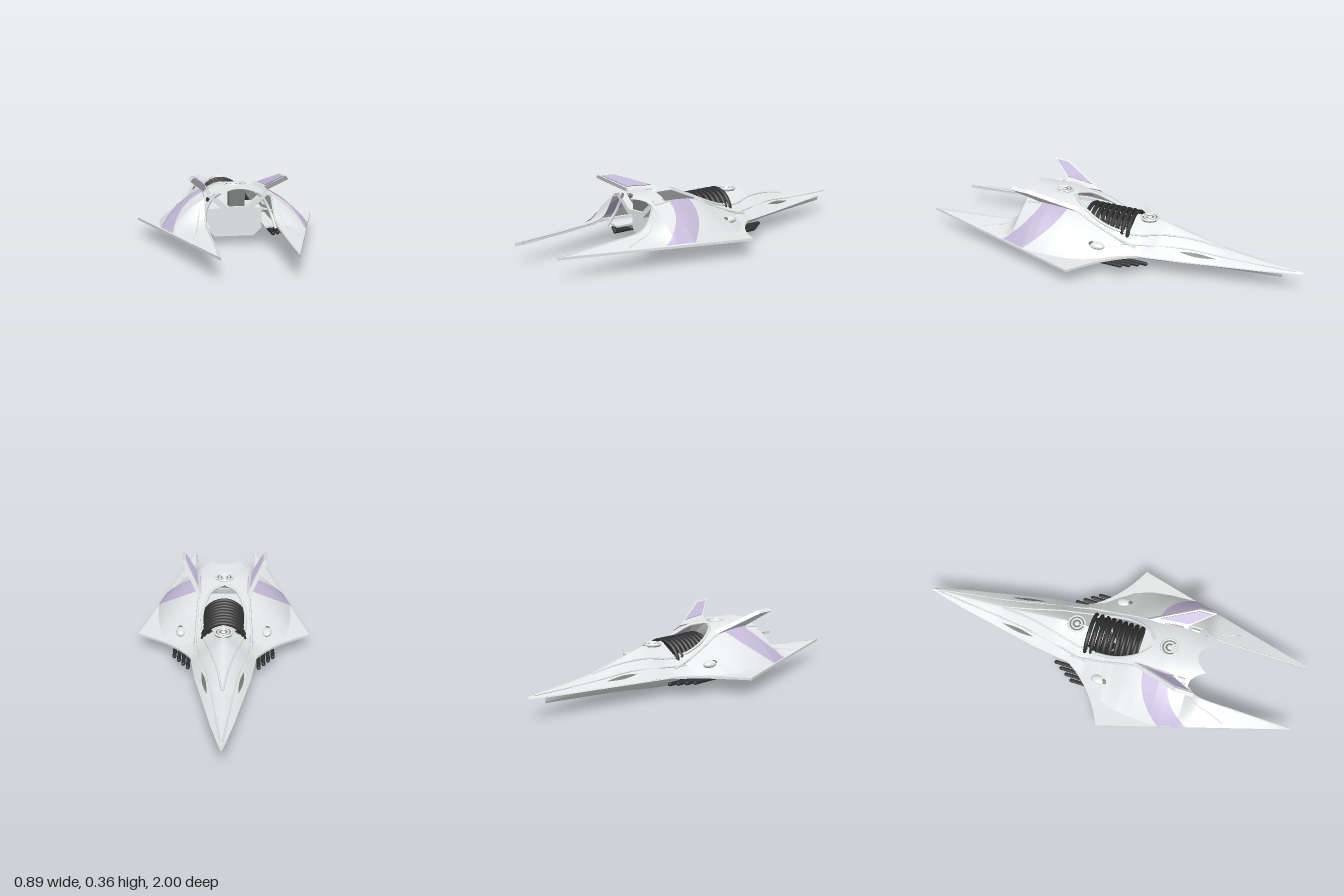
import * as THREE from 'three';

const mat = (name, color) => {
  const m = new THREE.MeshStandardMaterial({ color, side: THREE.DoubleSide });
  m.name = name;
  return m;
};

// Piecewise interpolation through [z, value] keys
const keyed = (keys) => (z) => {
  let i = 0;
  while (i < keys.length - 2 && z > keys[i + 1][0]) i++;
  const [a, va] = keys[i], [b, vb] = keys[i + 1];
  return va + (vb - va) * THREE.MathUtils.clamp((z - a) / (b - a), 0, 1);
};

// Hull rules along z: half width, rise above the edge, profile power, edge height
const width = keyed([[-1, 0.004], [-0.94, 0.02], [-0.8, 0.054], [-0.6, 0.095], [-0.4, 0.137], [-0.28, 0.154], [-0.2, 0.165],
  [-0.1, 0.21], [-0.04, 0.26], [0.03, 0.31], [0.12, 0.34], [0.22, 0.352], [0.35, 0.357], [0.5, 0.315], [1, 0.171]]);
const rise = keyed([[-1, 0.006], [-0.8, 0.024], [-0.6, 0.05], [-0.4, 0.1], [-0.28, 0.133], [-0.15, 0.148], [0, 0.16],
  [0.15, 0.186], [0.3, 0.199], [0.44, 0.199], [0.46, 0.155], [0.48, 0.117], [0.5, 0.093], [0.55, 0.072], [0.7, 0.055], [0.85, 0.04], [1, 0.006]]);
const power = keyed([[-1, 1.3], [-0.3, 1.3], [-0.1, 0.95], [0.05, 1.3], [0.2, 2.1], [0.3, 2.3], [0.44, 2.1], [0.52, 1.4], [1, 1.2]]);
const edgeY = keyed([[-1, 0.108], [-0.4, 0.1], [0, 0.088], [1, 0.111]]);
const top = (x, z) => edgeY(z) + rise(z) * (1 - Math.min(1, Math.abs(x) / width(z)) ** power(z));
const keelWidth = keyed([[-0.9, 0.012], [-0.6, 0.07], [-0.3, 0.14], [-0.12, 0.145], [-0.04, 0.1], [0.02, 0.015]]);
const keelDepth = keyed([[-0.9, 0.04], [-0.4, 0.065], [-0.2, 0.082], [0, 0.088]]);
const mix = THREE.MathUtils.lerp;

// Smooth grid from a rule f(u, v) -> [x, y, z]
function patch(f, nu, nv) {
  const pos = [], idx = [];
  for (let j = 0; j <= nv; j++) for (let i = 0; i <= nu; i++) pos.push(...f(i / nu, j / nv));
  for (let j = 0; j < nv; j++) for (let i = 0; i < nu; i++) {
    const a = j * (nu + 1) + i, b = a + nu + 1;
    idx.push(a, b, a + 1, b, b + 1, a + 1);
  }
  const g = new THREE.BufferGeometry();
  g.setAttribute('position', new THREE.Float32BufferAttribute(pos, 3));
  g.setIndex(idx);
  g.computeVertexNormals();
  return g;
}

export function createModel() {
  const silver = mat('silver hull', 0xe6e8e9), violet = mat('violet paint', 0xc3b9d8);
  const grey = mat('grey recess', 0x7a7c7c), black = mat('black pipes', 0x2f3031);
  const model = new THREE.Group();
  const add = (parent, name, geo, m, x = 0, y = 0, z = 0) => {
    const mesh = new THREE.Mesh(geo, m);
    mesh.name = name;
    mesh.position.set(x, y, z);
    parent.add(mesh);
    return mesh;
  };
  const tube = (pts, r) =>
    new THREE.TubeGeometry(new THREE.CatmullRomCurve3(pts.map((p) => new THREE.Vector3(...p))), 40, r, 6);

  // Everything in a half is built on the left and mirrored
  function half(name) {
    const g = new THREE.Group();
    g.name = name;
    const shell = (n, z0, z1, inner, nv) => add(g, n, patch((u, v) => {
      const z = mix(z0, z1, v), x = mix(inner(z), Math.max(width(z), inner(z)), u);
      return [x, top(x, z), z];
    }, 20, nv), silver);
    shell('noseShell', -1, -0.12, () => 0, 44);
    shell('shoulderShell', -0.12, 0.17, keyed([[-0.12, 0.085], [-0.08, 0.105], [0.08, 0.105], [0.17, 0.07]]), 24);
    shell('domeShell', 0.17, 0.44, keyed([[0.17, 0.07], [0.22, 0], [0.44, 0]]), 28);
    const tailInner = keyed([[0.44, 0.155], [0.5, 0.165], [1, 0.17]]);
    shell('tailShell', 0.44, 1, tailInner, 56);
    // Scalloped rear lip of the crest
    const lip = keyed([[0, 0.45], [0.03, 0.458], [0.06, 0.485], [0.075, 0.512], [0.095, 0.475], [0.125, 0.447], [0.155, 0.44]]);
    add(g, 'rearLip', patch((u, v) => [0.155 * u, top(0.155 * u, 0.44), mix(0.44, lip(0.155 * u), v)], 24, 3), silver);
    // Inside lip of the tail prong
    add(g, 'prongLip', patch((u, v) => {
      const z = mix(0.5, 1, u), x = tailInner(z);
      return [x, mix(top(x, z), top(x, z) - 0.015, v), z];
    }, 30, 1), silver);
    // Flat wing flange round the dome, open underneath
    const s = new THREE.Shape();
    s.moveTo(0.16, -0.2);
    s.quadraticCurveTo(0.25, -0.04, 0.444, 0.05);
    s.lineTo(0.171, 1);
    for (let i = 0; i <= 24; i++) {
      const z = mix(0.97, -0.19, i / 24);
      s.lineTo(width(z) - 0.014, z);
    }
    const wing = new THREE.ExtrudeGeometry(s, { depth: 0.012, bevelEnabled: false, curveSegments: 14 });
    wing.rotateX(Math.PI / 2);
    const p = wing.attributes.position;
    for (let i = 0; i < p.count; i++) p.setY(i, p.getY(i) + edgeY(p.getZ(i)) - 0.001);
    wing.computeVertexNormals();
    add(g, 'wingFlange', wing, silver);
    // Nose underside and keel
    add(g, 'noseFloor', patch((u, v) => {
      const z = mix(-1, -0.12, v);
      return [u * Math.min(width(z), 0.165), edgeY(z) - 0.006, z];
    }, 1, 30), silver);
    add(g, 'keel', patch((u, v) => {
      const z = mix(-0.9, 0.02, v);
      return [u * keelWidth(z), edgeY(z) - keelDepth(z) * (1 - u ** 1.8), z];
    }, 14, 36), silver);
    // Violet band on both faces of the dome shell
    for (const side of [1, -1])
      add(g, side > 0 ? 'violetBand' : 'violetBandInside', patch((u, v) => {
        const t = mix(0.34, side > 0 ? 0.995 : 0.95, u), c = t ** 4;
        const z = mix(0.2 + 0.15 * c, 0.335 + 0.165 * c, v), x = t * width(z);
        return [x + 0.003 * side, top(x, z) + 0.004 * side, z];
      }, 28, 24), violet);
    // Narrow intake slit on the nose flank
    add(g, 'noseIntake', patch((u, v) => {
      const z = mix(-0.58, -0.4, v), t = 0.75 + 0.07 * (u - 0.5) * Math.sin(v * Math.PI) * 2, x = t * width(z);
      return [x, top(x, z) + 0.003, z];
    }, 2, 16), grey);
    // Raised ridges that follow the hull
    const ridge = (n, pts, r) => add(g, n, tube(pts.map(([x, z]) => [x, top(x, z), z]), r), silver);
    ridge('noseRidge', [[0.004, -0.96], [0.025, -0.8], [0.05, -0.6], [0.08, -0.42], [0.115, -0.25], [0.15, -0.1]], 0.004);
    ridge('spineRidge', [[0.002, -0.6], [0.025, -0.45], [0.06, -0.3], [0.09, -0.17], [0.105, -0.08]], 0.005);
    ridge('openingFrame', [[0.085, -0.12], [0.105, -0.06], [0.108, 0.06], [0.07, 0.17], [0.02, 0.22]], 0.008);
    ridge('shoulderRidge', [[0.14, -0.18], [0.14, -0.05], [0.135, 0.08], [0.13, 0.2], [0.15, 0.32], [0.155, 0.43]], 0.006);
    ridge('domeRidge', [[0.18, 0.43], [0.2, 0.5], [0.22, 0.58], [0.248, 0.66]], 0.003);
    ridge('prongRim', [[0.157, 0.44], [0.165, 0.5], [0.167, 0.7], [0.169, 0.85], [0.171, 0.98]], 0.004);
    // Scoop on the wing root with a shaded mouth
    const scoop = add(g, 'scoop', new THREE.SphereGeometry(0.026, 14, 10), silver, 0.22, top(0.22, 0), 0);
    scoop.scale.set(1, 0.7, 1.7);
    const mouth = add(g, 'scoopMouth', new THREE.SphereGeometry(0.015, 12, 8), grey, 0.222, top(0.22, 0) + 0.004, 0.024);
    mouth.scale.set(1.1, 0.9, 1.4);
    // Canted fin with a violet inner face
    const fin = new THREE.Group();
    fin.name = 'fin';
    const d = new THREE.Vector3(0.73, 0.684, 0).normalize();
    fin.rotation.setFromRotationMatrix(new THREE.Matrix4().makeBasis(d, new THREE.Vector3(0, 0, 1), new THREE.Vector3(d.y, -d.x, 0)));
    fin.position.set(0.126, 0.274, 0);
    const blade = (pts, depth) => new THREE.ExtrudeGeometry(
      new THREE.Shape(pts.map(([a, b]) => new THREE.Vector2(a, b))), { depth, bevelEnabled: false });
    add(fin, 'finBlade', blade([[-0.01, 0.15], [0.122, 0.39], [0.125, 0.48], [0.02, 0.36], [-0.01, 0.36]], 0.022), silver);
    add(fin, 'finPaint', blade([[0.015, 0.21], [0.112, 0.39], [0.115, 0.46], [0.03, 0.36]], 0.004), violet, 0, 0, -0.004);
    g.add(fin);
    // Arch strut and inner ledge behind the dome
    add(g, 'archStrut', tube([[0.085, 0.277, 0.43], [0.125, 0.24, 0.41], [0.16, 0.17, 0.42], [0.178, 0.105, 0.46]], 0.008), silver);
    const ledge = add(g, 'innerLedge', new THREE.BoxGeometry(0.055, 0.01, 0.3), silver, 0.158, 0.106, 0.28);
    ledge.rotation.z = 0.12;
    // Lengthwise pipes under the wing, hung from a mount
    for (let i = 0; i < 4; i++) {
      const z0 = -0.25 + i * 0.035, len = 0.66 - i * 0.05;
      const pipe = new THREE.CapsuleGeometry(0.01, len, 4, 8).rotateX(Math.PI / 2);
      add(g, 'wingPipe', pipe, black, 0.176 + i * 0.024, 0.067, z0 + len / 2);
    }
    add(g, 'pipeMount', new THREE.BoxGeometry(0.1, 0.016, 0.36), grey, 0.212, 0.078, 0.14);
    // Arm of the rear yoke
    const arm = add(g, 'yokeArm', new THREE.BoxGeometry(0.125, 0.024, 0.04), silver, 0.094, 0.229, 0.4);
    arm.rotation.z = 0.72;
    return g;
  }
  const right = half('rightHalf');
  right.scale.x = -1;
  model.add(half('leftHalf'), right);

  // Ribbed core of hoops
  for (let i = 0; i < 9; i++)
    add(model, 'coreHoop', new THREE.TorusGeometry(0.107, 0.0105, 8, 40), black, 0, 0.136, -0.115 + i * 0.031);

  // Engine block with chamfered lower corners
  const block = new THREE.Shape([[-0.135, 0.18], [-0.135, 0.08], [-0.095, 0.042], [0.095, 0.042], [0.135, 0.08], [0.135, 0.18]]
    .map(([x, y]) => new THREE.Vector2(x, y)));
  add(model, 'engineBlock', new THREE.ExtrudeGeometry(block, { depth: 0.18, bevelEnabled: false }), silver, 0, 0, 0.15);
  add(model, 'yokeBar', new THREE.BoxGeometry(0.11, 0.022, 0.04), silver, 0, 0.194, 0.4);
  add(model, 'yokePost', new THREE.BoxGeometry(0.075, 0.08, 0.05), grey, 0, 0.243, 0.38);

  // Round vents on the spine
  for (const z of [-0.19, 0.3]) {
    const y = top(0, z) - 0.002;
    add(model, 'ventDisc', new THREE.CylinderGeometry(0.04, 0.044, 0.012, 24), grey, 0, y - 0.004, z);
    for (const r of [0.042, 0.026])
      add(model, 'ventRing', new THREE.TorusGeometry(r, 0.006, 8, 28).rotateX(Math.PI / 2), silver, 0, y, z);
    add(model, 'ventCap', new THREE.SphereGeometry(0.014, 12, 8).scale(1, 0.5, 1), silver, 0, y, z);
  }
  return model;
}
